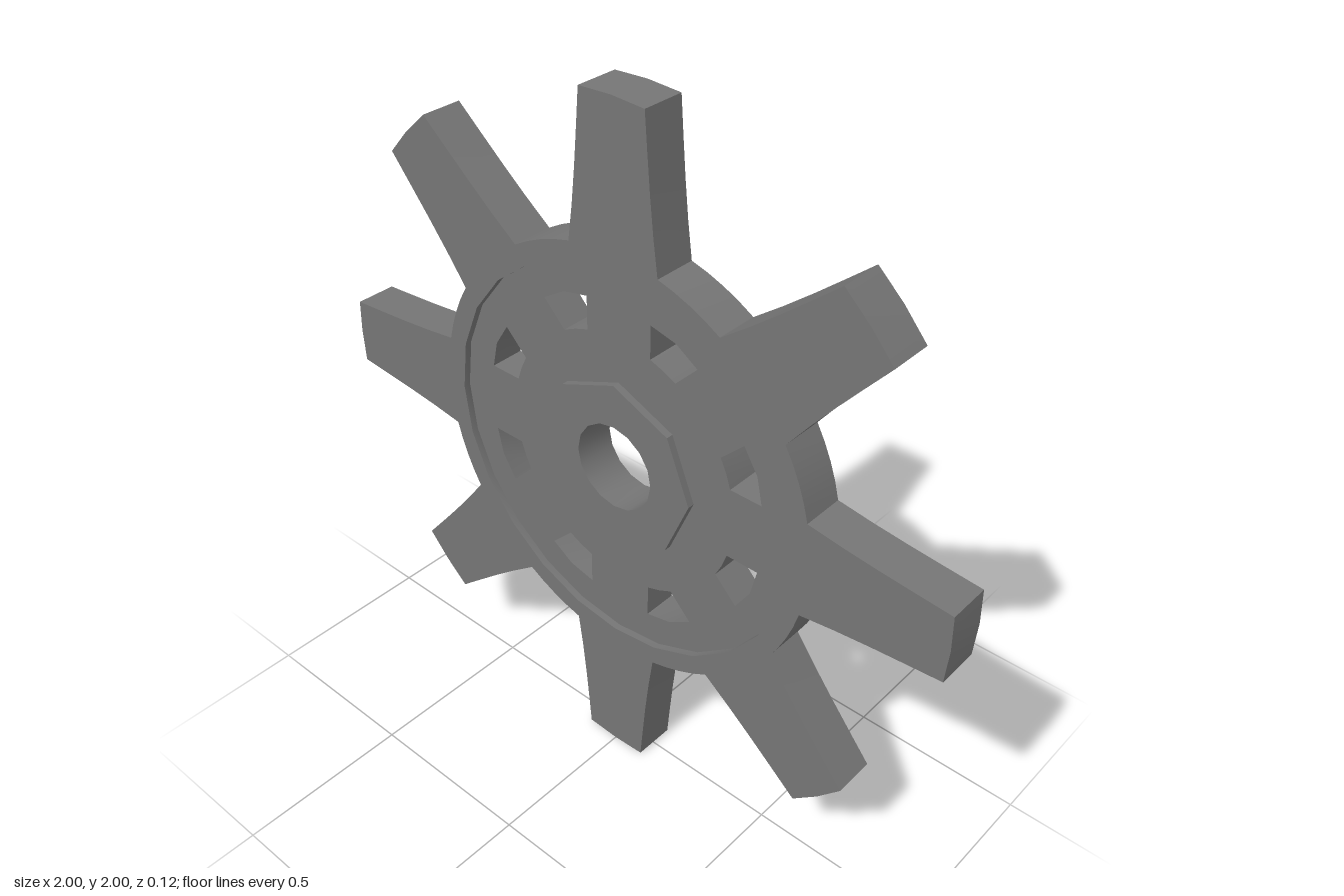
import * as THREE from 'three';
import { mergeGeometries, toCreasedNormals } from 'three/addons/utils/BufferGeometryUtils.js';

const TEETH = 8;
const BACK = -0.06, FRONT = 0.06, WEB = 0.04; // z of the faces
const STEP = (Math.PI * 2) / TEETH;

const polar = (r, a) => new THREE.Vector2(r * Math.cos(a), r * Math.sin(a));
const turn = (x, y, a) => new THREE.Vector2(x, y).rotateAround(new THREE.Vector2(), a);
const ring = (r, n) => Array.from({ length: n }, (_, i) => polar(r, (i / n) * Math.PI * 2));

// Flat face with holes, at height z, facing +z or (back) -z
function cap(outline, holes, z, back = false) {
  const shape = new THREE.Shape(outline);
  shape.holes = holes.map((h) => new THREE.Path(h));
  const g = new THREE.ShapeGeometry(shape).toNonIndexed();
  if (back) g.rotateY(Math.PI);
  g.translate(0, 0, z);
  g.deleteAttribute('uv');
  g.deleteAttribute('normal');
  return g;
}

// Wall round a counter-clockwise outline; inward = wall of a hole
function wall(points, z0, z1, inward = false) {
  const p = inward ? [...points].reverse() : points;
  const pos = [];
  p.forEach((a, i) => {
    const b = p[(i + 1) % p.length];
    pos.push(a.x, a.y, z0, b.x, b.y, z0, b.x, b.y, z1);
    pos.push(a.x, a.y, z0, b.x, b.y, z1, a.x, a.y, z1);
  });
  const g = new THREE.BufferGeometry();
  g.setAttribute('position', new THREE.Float32BufferAttribute(pos, 3));
  return g;
}

// Outline of the wheel: tapered teeth joined by root arcs
function wheelOutline() {
  const half = [[0.6, 0.14], [0.7, 0.126], [0.8, 0.115], [0.9, 0.106], [0.995, 0.098]];
  const rootR = Math.hypot(0.6, 0.14), rootA = Math.atan2(0.14, 0.6);
  const pts = [];
  for (let i = 0; i < TEETH; i++) {
    const a = i * STEP;
    half.forEach(([x, y]) => pts.push(turn(x, -y, a)));
    pts.push(turn(1, 0, a));
    [...half].reverse().forEach(([x, y]) => pts.push(turn(x, y, a)));
    for (let k = 1; k < 4; k++) pts.push(polar(rootR, a + rootA + ((STEP - 2 * rootA) * k) / 4));
  }
  return pts;
}

// One window between two spokes, centred on angle a
function windowOutline(a) {
  return [
    polar(0.375, a - 0.115), polar(0.467, a - 0.17), polar(0.474, a),
    polar(0.467, a + 0.17), polar(0.375, a + 0.115), polar(0.375, a),
  ];
}

export function createModel() {
  const group = new THREE.Group();
  const material = new THREE.MeshStandardMaterial({ color: 0x757575 });
  const add = (name, parts) => {
    const mesh = new THREE.Mesh(toCreasedNormals(mergeGeometries(parts), 0.5), material);
    mesh.name = name;
    mesh.position.y = 1;
    group.add(mesh);
  };

  const wheel = wheelOutline();
  const recess = ring(0.56, 24);
  const hub = ring(0.25, 8);
  const bore = ring(0.125, 16);
  const windows = Array.from({ length: TEETH }, (_, i) => windowOutline((i + 0.5) * STEP));

  // Toothed rim with the step down into the recess
  add('toothedRim', [
    cap(wheel, [recess], FRONT), wall(wheel, BACK, FRONT), wall(recess, WEB, FRONT, true),
  ]);
  // Recessed web and its windows
  add('web', [
    cap(recess, [hub, ...windows], WEB), ...windows.map((w) => wall(w, BACK, WEB, true)),
  ]);
  // Raised octagonal hub with the round bore
  add('hub', [
    cap(hub, [bore], FRONT), wall(hub, WEB, FRONT), wall(bore, BACK, FRONT, true),
  ]);
  // Flat back
  add('backFace', [cap(wheel, [bore, ...windows], BACK, true)]);

  return group;
}
